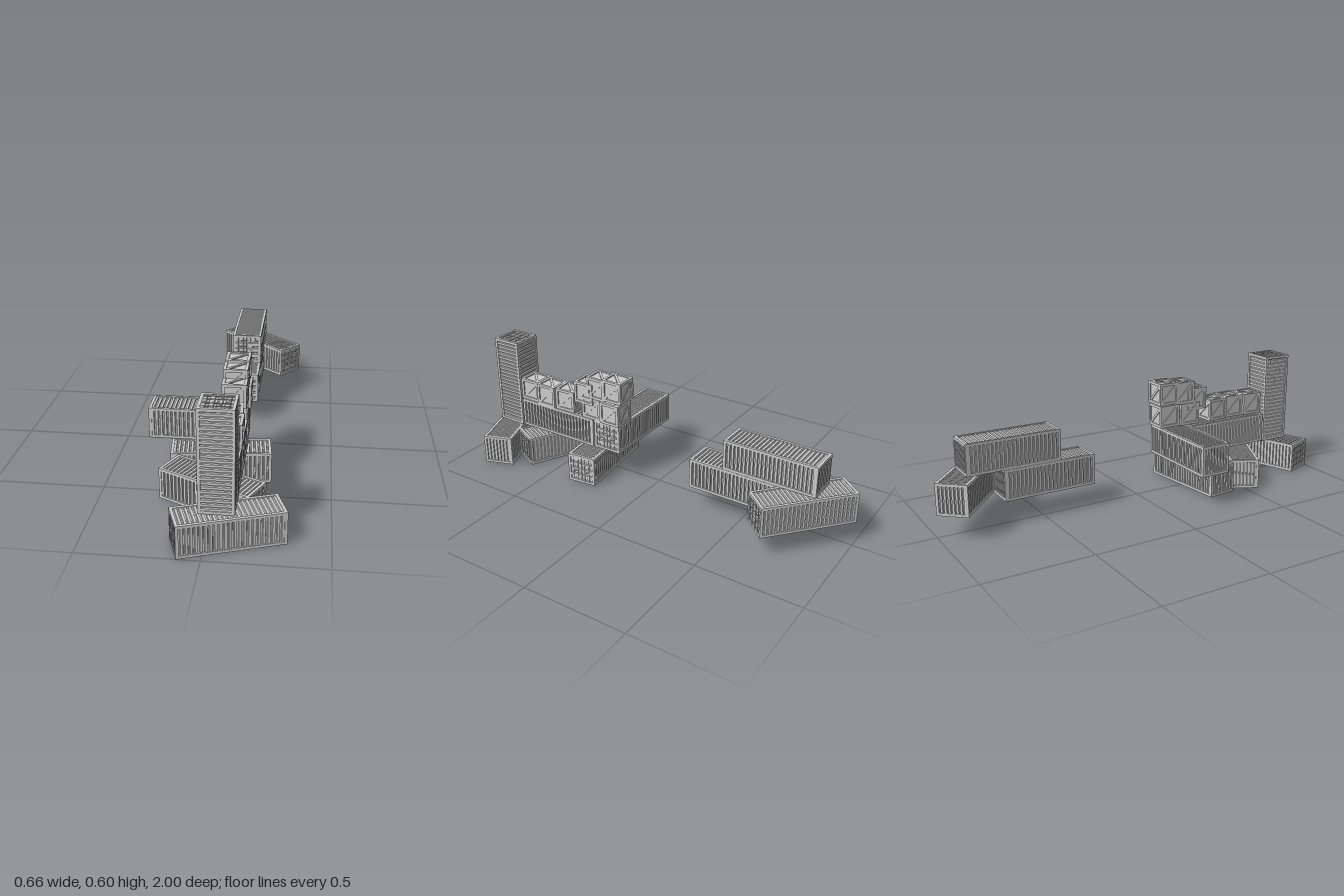
import * as THREE from 'three';

const L = 0.447, S = 0.146; // container length and square section
const grey = new THREE.MeshStandardMaterial({ color: 0xcccccc, flatShading: true });

function add(parent, geometry, name, x = 0, y = 0, z = 0) {
  const mesh = new THREE.Mesh(geometry, grey);
  mesh.name = name;
  mesh.position.set(x, y, z);
  parent.add(mesh);
  return mesh;
}
const box = (x, y, z) => new THREE.BoxGeometry(x, y, z);

// Corrugated sheet: runs along x, faces +y (crest at y = 0), ribs cross in z
function corrugated(length, span, ribs, depth = 0.006) {
  const shape = new THREE.Shape();
  const step = length / ribs;
  shape.moveTo(-length / 2, -0.014);
  for (let i = 0; i < ribs; i++) {
    const x = -length / 2 + i * step;
    shape.lineTo(x, 0);
    shape.lineTo(x + step * 0.55, 0);
    shape.lineTo(x + step * 0.65, -depth);
    shape.lineTo(x + step * 0.9, -depth);
  }
  shape.lineTo(length / 2, 0);
  shape.lineTo(length / 2, -0.014);
  return new THREE.ExtrudeGeometry(shape, { depth: span, bevelEnabled: false }).translate(0, 0, -span / 2);
}

// Bars along the twelve edges of a box
function edgeFrame(parent, sx, sy, sz, t, name) {
  for (const a of [-1, 1]) for (const b of [-1, 1]) {
    add(parent, box(sx, t, t), name + 'Rail', 0, a * (sy - t) / 2, b * (sz - t) / 2);
    add(parent, box(t, sy, t), name + 'Post', a * (sx - t) / 2, 0, b * (sz - t) / 2);
    add(parent, box(t, t, sz), name + 'Crossbar', a * (sx - t) / 2, b * (sy - t) / 2, 0);
  }
}

// Shipping container along x, doors at +x
function container(name, x, y, z, yaw, upright = false) {
  const g = new THREE.Group();
  g.name = name;
  edgeFrame(g, L, S, S, 0.013, 'frame');
  const wall = corrugated(L - 0.024, S - 0.022, 22);
  ['roof', 'leftSide', 'floor', 'rightSide'].forEach((side, i) => {
    const a = i * Math.PI / 2, r = S / 2 - 0.003;
    add(g, wall, side, 0, r * Math.cos(a), r * Math.sin(a)).rotation.x = a;
  });
  // Plain rear wall with upright ribs
  const end = corrugated(S - 0.022, S - 0.022, 7).rotateY(Math.PI / 2).rotateZ(Math.PI / 2);
  add(g, end, 'endWall', -L / 2 + 0.003);
  // Two door leaves with level ribs, lock rods and handles
  const leaf = corrugated(S - 0.022, S / 2 - 0.013, 4, 0.004).rotateZ(-Math.PI / 2);
  for (const s of [-1, 1]) {
    add(g, leaf, 'door', L / 2 - 0.003, 0, s * (S / 4 - 0.005));
    for (const d of [0.018, 0.044])
      add(g, new THREE.CylinderGeometry(0.0018, 0.0018, S - 0.02, 6), 'lockRod', L / 2 - 0.001, 0, s * d);
    add(g, box(0.004, 0.004, 0.024), 'handle', L / 2 - 0.001, -0.012, s * 0.03);
  }
  g.position.set(x, y, z);
  g.rotation.set(0, THREE.MathUtils.degToRad(yaw), upright ? Math.PI / 2 : 0);
  return g;
}

// Framed crate with a diagonal brace on every face
function crate(x, y, z, yaw = 0, size = 0.108) {
  const g = new THREE.Group();
  g.name = 'crate';
  const t = 0.013, core = size - 0.012;
  add(g, box(core, core, core), 'crateBoards');
  edgeFrame(g, size, size, size, t, 'crate');
  const braceLength = (size - 2 * t) * Math.SQRT2;
  const turns = [[0, 0], [0, 1], [0, 2], [0, 3], [1, 0], [-1, 0]];
  for (const [rx, ry] of turns) {
    const face = new THREE.Group();
    face.name = 'crateFace';
    face.rotation.set(rx * Math.PI / 2, ry * Math.PI / 2, 0);
    add(face, box(braceLength, 0.012, 0.005), 'brace', 0, 0, core / 2 + 0.002).rotation.z = Math.PI / 4;
    g.add(face);
  }
  g.position.set(x, y, z);
  g.rotation.y = THREE.MathUtils.degToRad(yaw);
  return g;
}

export function createModel() {
  const model = new THREE.Group();
  model.name = 'containerStacks';
  const low = 0.0745, mid = 0.231;

  // Front cluster: three skewed base containers, two above, one on end
  model.add(
    container('baseContainerFront', 0.091, low, 0.857, 199.5),
    container('baseContainerMiddle', -0.007, low, 0.596, -26.5),
    container('baseContainerRear', 0.003, low, 0.332, 6),
    container('crossContainer', -0.106, mid, 0.229, 0),
    container('longContainer', 0.05, mid, 0.53, -90),
    container('uprightContainer', 0.051, 0.3775, 0.836, 0, true),
  );

  // Rear cluster, raised off the ground
  model.add(
    container('rearLowerContainer', 0.05, 0.183, -0.466, -90),
    container('rearSkewedContainer', 0.1025, 0.183, -0.799, -41.3),
    container('rearUpperContainer', 0.05, 0.33, -0.637, -90),
  );

  // Crates lined up and stacked along the top
  const crates = [
    [0.062, 0.359, 0.705], [0.072, 0.359, 0.595], [0.062, 0.359, 0.485, 3],
    [0.066, 0.359, 0.318], [0.075, 0.359, 0.205], [0.068, 0.43, 0.36],
    [0.066, 0.469, 0.287], [0.066, 0.475, 0.195],
  ];
  for (const c of crates) model.add(crate(...c));
  return model;
}
